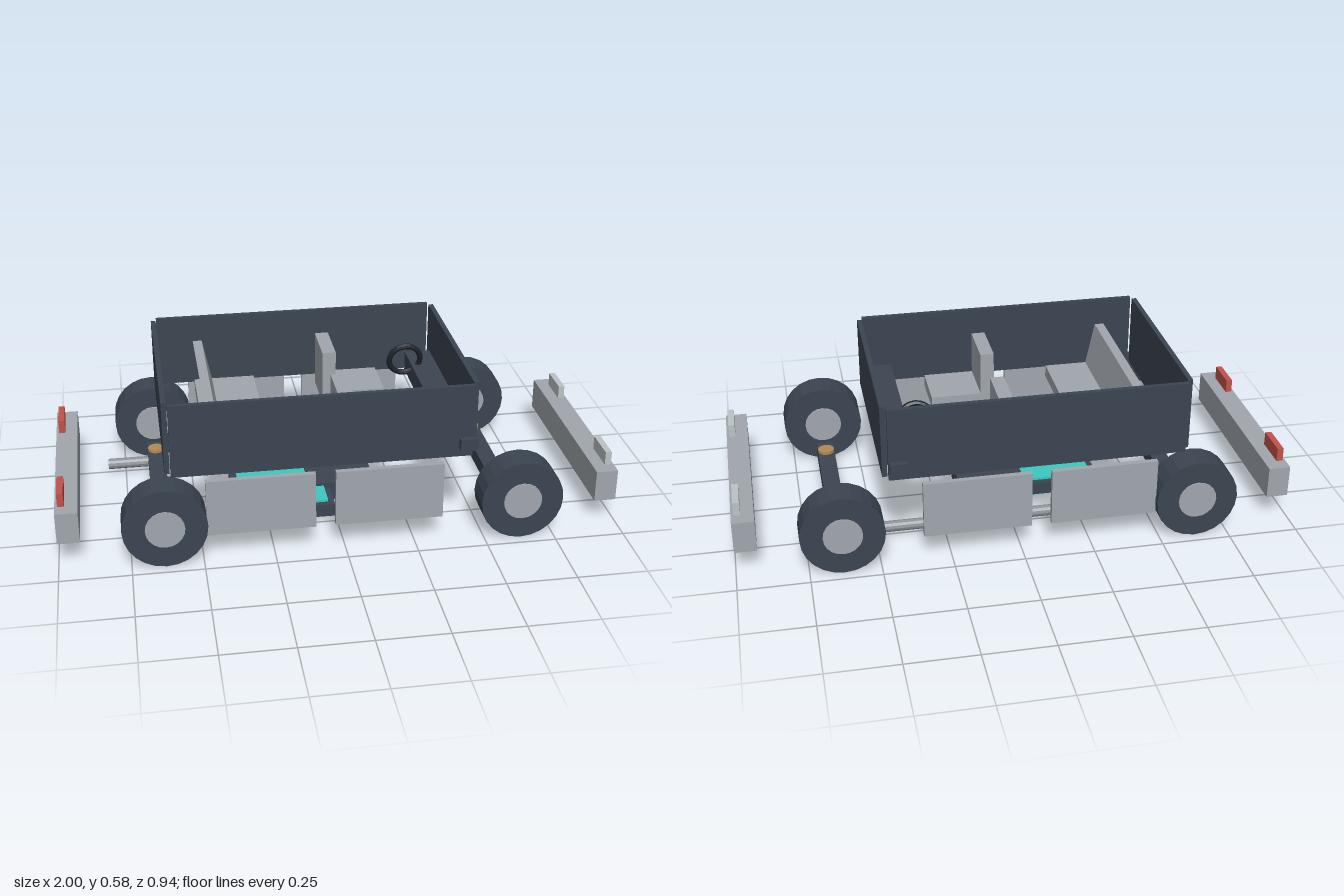
import * as THREE from 'three';

const mat = (name, color) => {
  const m = new THREE.MeshStandardMaterial({ color, flatShading: true });
  m.name = name;
  return m;
};

export function createModel() {
  const car = new THREE.Group();
  car.name = 'explodedCar';

  const slate = mat('slate', 0x3b4551);
  const grey = mat('silverGrey', 0xa0a7ad);
  const pale = mat('lampGrey', 0xbcc4c6);
  const red = mat('lampRed', 0xc2524a);
  const teal = mat('teal', 0x3cc9c0);
  const bronze = mat('bronze', 0xb08a54);
  const pipeGrey = mat('pipeGrey', 0x8b9298);
  const black = mat('black', 0x1d232a);

  const add = (name, geo, material, x, y, z) => {
    const mesh = new THREE.Mesh(geo, material);
    mesh.name = name;
    mesh.position.set(x, y, z);
    car.add(mesh);
    return mesh;
  };
  // Box given by its lower and upper limits on each axis
  const box = (name, material, [x0, x1], [y0, y1], [z0, z1]) =>
    add(name, new THREE.BoxGeometry(x1 - x0, y1 - y0, z1 - z0), material,
      (x0 + x1) / 2, (y0 + y1) / 2, (z0 + z1) / 2);
  // Range at one side of the car, mirrored by s
  const side = (s, a, b) => (s > 0 ? [a, b] : [-b, -a]);

  // Upper body shell
  const wallY = [0.31, 0.58];
  box('frontPanel', slate, [0.459, 0.477], wallY, [-0.36, 0.36]);
  box('rearPanel', slate, [-0.618, -0.6], wallY, [-0.36, 0.36]);

  for (const s of [1, -1]) {
    box('sidePanel', slate, [-0.598, 0.457], wallY, side(s, 0.371, 0.389));
    box('rearDoor', grey, [-0.485, -0.105], [0.1, 0.31], side(s, 0.418, 0.438));
    box('frontDoor', grey, [-0.035, 0.347], [0.1, 0.31], side(s, 0.418, 0.438));
    box('wingMirror', slate, [0.396, 0.458], [0.37, 0.41], side(s, 0.438, 0.46));

    // Lamps on top of the bumpers
    box('headlamp', pale, [0.967, 0.99], [0.205, 0.255], side(s, 0.216, 0.344));
    box('tailLamp', red, [-0.99, -0.967], [0.205, 0.255], side(s, 0.216, 0.344));

    // Front seats
    box('frontSeatCushion', grey, [0, 0.235], [0.315, 0.36], side(s, 0.095, 0.287));
    box('frontSeatBack', grey, [0, 0.05], [0.36, 0.52], side(s, 0.095, 0.287));

    // Wheels, hubs and suspension mounts
    for (const x of [0.63, -0.63]) {
      const tyre = add('tyre', new THREE.CylinderGeometry(0.148, 0.148, 0.108, 24), slate, x, 0.152, s * 0.408);
      const hub = add('hub', new THREE.CylinderGeometry(0.069, 0.069, 0.121, 20), grey, x, 0.152, s * 0.407);
      tyre.rotation.x = hub.rotation.x = Math.PI / 2;
      add('suspensionMount', new THREE.CylinderGeometry(0.031, 0.031, 0.08, 12), bronze, x, 0.046, s * 0.272);
    }
  }

  // Bumpers and axles
  for (const s of [1, -1]) {
    box('bumper', grey, side(s, 0.921, 1), [0.087, 0.205], [-0.395, 0.395]);
    box('axle', slate, side(s, 0.598, 0.662), [0.02, 0.075], [-0.339, 0.339]);
  }

  // Rear bench with a leaning backrest
  box('benchCushion', grey, [-0.467, -0.24], [0.315, 0.36], [-0.284, 0.28]);
  const back = box('benchBack', grey, [-0.467, -0.433], [0.36, 0.52], [-0.284, 0.28]);
  const p = back.geometry.attributes.position;
  for (let i = 0; i < p.count; i++) if (p.getY(i) < 0) p.setX(i, p.getX(i) + 0.033);
  back.geometry.computeVertexNormals();

  // Dashboard and steering wheel
  box('dashboard', slate, [0.36, 0.457], [0.33, 0.405], [-0.315, 0.315]);
  const wheel = add('steeringWheel', new THREE.TorusGeometry(0.06, 0.011, 8, 24), black, 0.333, 0.43, -0.191);
  wheel.rotation.x = 0.2;

  // Drivetrain under the floor
  box('batteryTray', slate, [-0.365, -0.003], [0.012, 0.06], [-0.095, 0.227]);
  box('batteryPack', teal, [-0.34, -0.026], [0.055, 0.069], [-0.072, 0.204]);
  box('motor', slate, [-0.08, 0.165], [0.007, 0.078], [-0.1, 0.1]);
  const pipe = add('exhaustPipe', new THREE.CylinderGeometry(0.02, 0.02, 1.355, 12), pipeGrey, -0.138, 0.038, -0.252);
  pipe.rotation.z = Math.PI / 2;

  return car;
}
